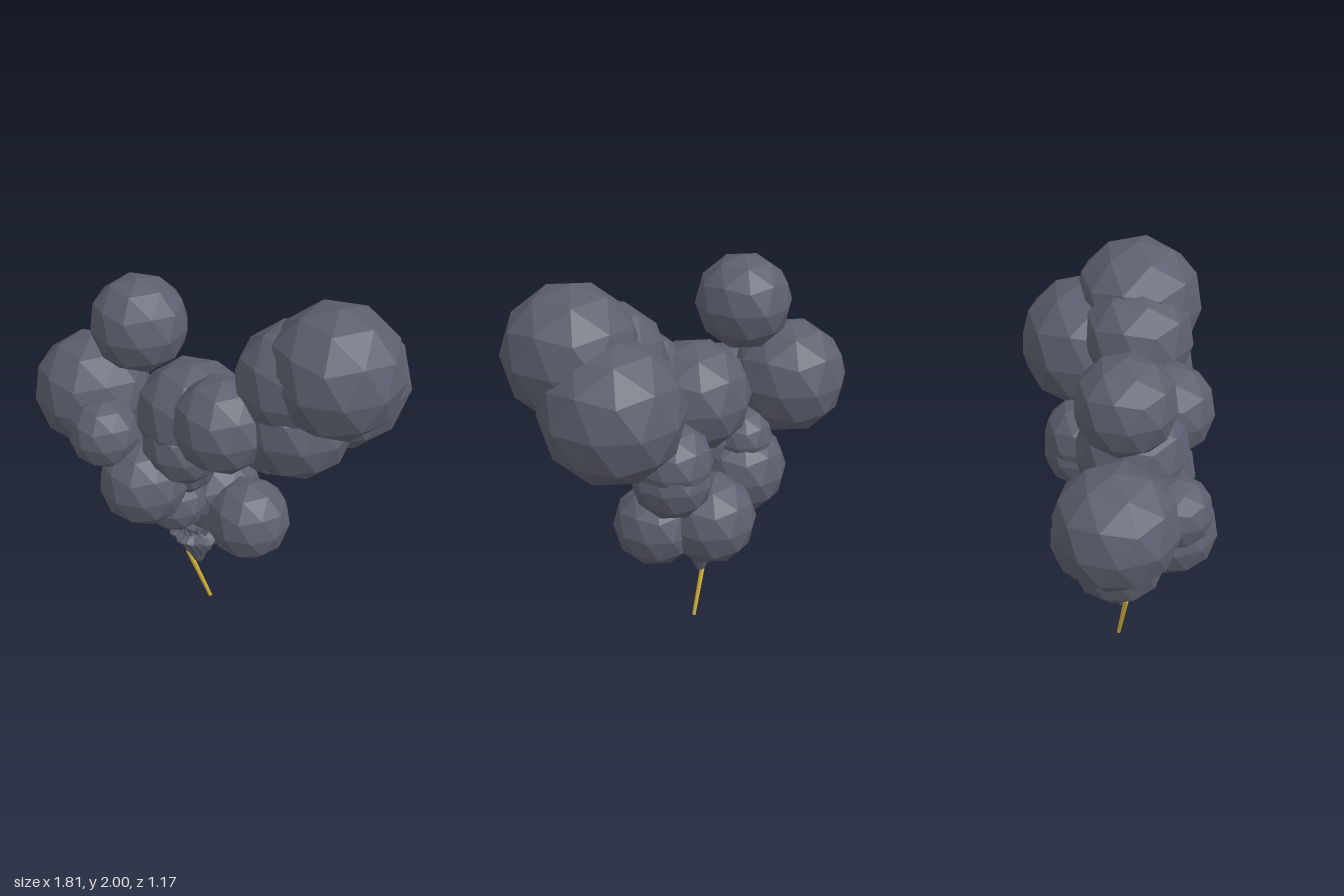
import * as THREE from 'three';

export function createModel() {
  const model = new THREE.Group();
  const smoke = new THREE.MeshStandardMaterial({ color: 0x5c5f6e, flatShading: true });
  smoke.name = 'smokeGrey';
  const gold = new THREE.MeshStandardMaterial({ color: 0xd0b038, flatShading: true });
  gold.name = 'oldGold';

  // Faceted smoke puffs: x, y, z, radius
  const puffs = [
    [0.515, 1.672, 0.255, 0.328],
    [0.575, 1.462, 0.003, 0.343],
    [0.34, 1.575, 0.18, 0.29],
    [0.35, 1.365, 0.2, 0.285],
    [0.003, 1.355, 0.205, 0.243],
    [-0.378, 1.7, -0.15, 0.24],
    [-0.625, 1.238, -0.293, 0.298],
    [-0.563, 1.19, 0.025, 0.176],
    [-0.13, 1.26, -0.02, 0.285],
    [-0.18, 1.15, 0.065, 0.21],
    [-0.38, 0.935, 0.085, 0.224],
    [-0.335, 0.805, -0.175, 0.24],
    [-0.23, 0.735, -0.01, 0.165],
    [0.143, 0.645, 0.045, 0.217],
    [-0.01, 0.665, -0.177, 0.238],
    [0.283, 1.022, -0.132, 0.203],
    [0.28, 1.1, -0.132, 0.2],
    [-0.18, 1.0, 0.0, 0.175],
    [-0.325, 0.99, -0.19, 0.155],
  ];
  const cloud = new THREE.Group();
  cloud.name = 'smokeCloud';
  const ball = new THREE.IcosahedronGeometry(1, 1);
  ball.rotateZ(Math.atan(2 / (1 + Math.sqrt(5)))); // one vertex straight up
  puffs.forEach(([x, y, z, r], i) => {
    const puff = new THREE.Mesh(ball, smoke);
    puff.name = 'puff' + (i + 1);
    puff.position.set(x, y, z);
    puff.scale.setScalar(r);
    cloud.add(puff);
  });
  model.add(cloud);

  // Gnarled funnel: lathe with a thin flat rim, its lower surface ruffled in folds
  const profile = [
    [0, 0], [0.024, 0.008], [0.045, 0.06], [0.075, 0.11], [0.096, 0.155], [0.108, 0.19],
    [0.143, 0.203], [0.143, 0.212], [0.105, 0.228], [0.088, 0.245], [0.1, 0.28],
    [0.06, 0.275], [0, 0.24],
  ].map(([r, y]) => new THREE.Vector2(r, y));
  const funnelGeo = new THREE.LatheGeometry(profile, 28);
  const p = funnelGeo.attributes.position;
  for (let i = 0; i < p.count; i++) {
    const x = p.getX(i), y = p.getY(i), z = p.getZ(i);
    const a = Math.atan2(z, x);
    const fold = 1 + 0.06 * Math.sin(7 * a + y * 25) + 0.04 * Math.sin(11 * a - y * 60);
    p.setXYZ(i, x * fold, y + 0.04 * Math.hypot(x, z) * Math.sin(9 * a + 1), z * fold * 0.9);
  }
  funnelGeo.computeVertexNormals();
  const funnel = new THREE.Mesh(funnelGeo, smoke);
  funnel.name = 'funnel';
  funnel.position.set(-0.112, 0.262, -0.07);
  model.add(funnel);

  // Ragged tips around the funnel mouth
  const crown = new THREE.Group();
  crown.name = 'funnelCrown';
  const tipGeo = new THREE.ConeGeometry(0.014, 0.05, 5);
  for (let i = 0; i < 16; i++) {
    const a = (i / 16) * Math.PI * 2;
    const tip = new THREE.Mesh(tipGeo, smoke);
    tip.name = 'crownTip';
    tip.position.set(-0.112 + 0.092 * Math.cos(a), 0.53 + 0.008 * Math.sin(5 * a), -0.07 + 0.082 * Math.sin(a));
    crown.add(tip);
  }
  model.add(crown);

  // Leaning stick
  const top = new THREE.Vector3(-0.165, 0.327, -0.067);
  const foot = new THREE.Vector3(-0.051, 0.004, -0.067);
  const dir = top.clone().sub(foot);
  const stick = new THREE.Mesh(new THREE.CylinderGeometry(0.014, 0.01, dir.length(), 8), gold);
  stick.name = 'stick';
  stick.position.copy(top).add(foot).multiplyScalar(0.5);
  stick.quaternion.setFromUnitVectors(new THREE.Vector3(0, 1, 0), dir.normalize());
  model.add(stick);

  return model;
}
